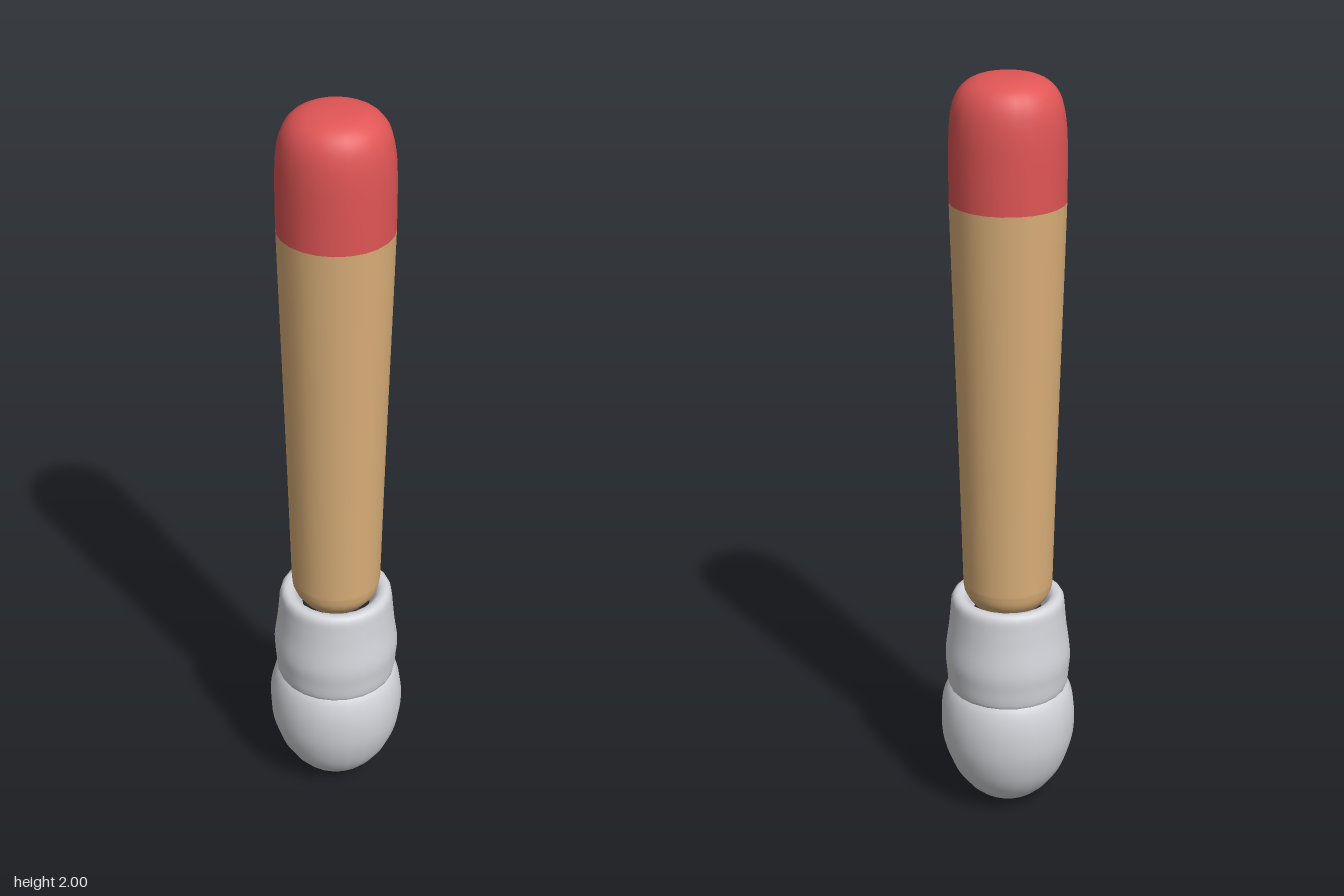
import * as THREE from 'three';

const SEGMENTS = 24;

// Smooth turned part from [radius, height] points listed bottom to top
function turned(name, points, material, steps) {
  const curve = new THREE.SplineCurve(points.map(([r, y]) => new THREE.Vector2(r, y)));
  const profile = curve.getPoints(steps);
  profile.forEach((p) => { p.x = Math.max(p.x, 0); });
  const mesh = new THREE.Mesh(new THREE.LatheGeometry(profile, SEGMENTS), material);
  mesh.name = name;
  return mesh;
}

export function createModel() {
  const red = new THREE.MeshStandardMaterial({ color: 0xe05555 });
  red.name = 'red paint';
  const wood = new THREE.MeshStandardMaterial({ color: 0xd9ae78 });
  wood.name = 'light wood';
  const grey = new THREE.MeshStandardMaterial({ color: 0xd3d4d9 });
  grey.name = 'pale grey';

  const model = new THREE.Group();
  model.name = 'handledTool';

  // Egg-shaped head at the bottom
  model.add(turned('head', [
    [0, 0], [0.055, 0.01], [0.105, 0.045], [0.148, 0.105], [0.174, 0.18],
    [0.181, 0.25], [0.175, 0.31], [0.158, 0.352], [0.13, 0.362], [0, 0.365],
  ], grey, 40));

  // Bulging collar, its rim rolling inward around the handle
  model.add(turned('collar', [
    [0.14, 0.345], [0.158, 0.352], [0.164, 0.40], [0.167, 0.45], [0.158, 0.52],
    [0.153, 0.57], [0.149, 0.605], [0.137, 0.619], [0.118, 0.617], [0.104, 0.60], [0.09, 0.57],
  ], grey, 40));

  // Wooden handle, widening upward, with a rounded lower end
  model.add(turned('handle', [
    [0.085, 0.59], [0.108, 0.62], [0.117, 0.65], [0.119, 0.70],
    [0.125, 0.95], [0.133, 1.25], [0.14, 1.5], [0.145, 1.69],
  ], wood, 40));

  // Painted domed tip
  model.add(turned('paintedTip', [
    [0.145, 1.69], [0.145, 1.80], [0.142, 1.88], [0.132, 1.935],
    [0.112, 1.97], [0.082, 1.99], [0.045, 1.998], [0, 2],
  ], red, 36));

  return model;
}
